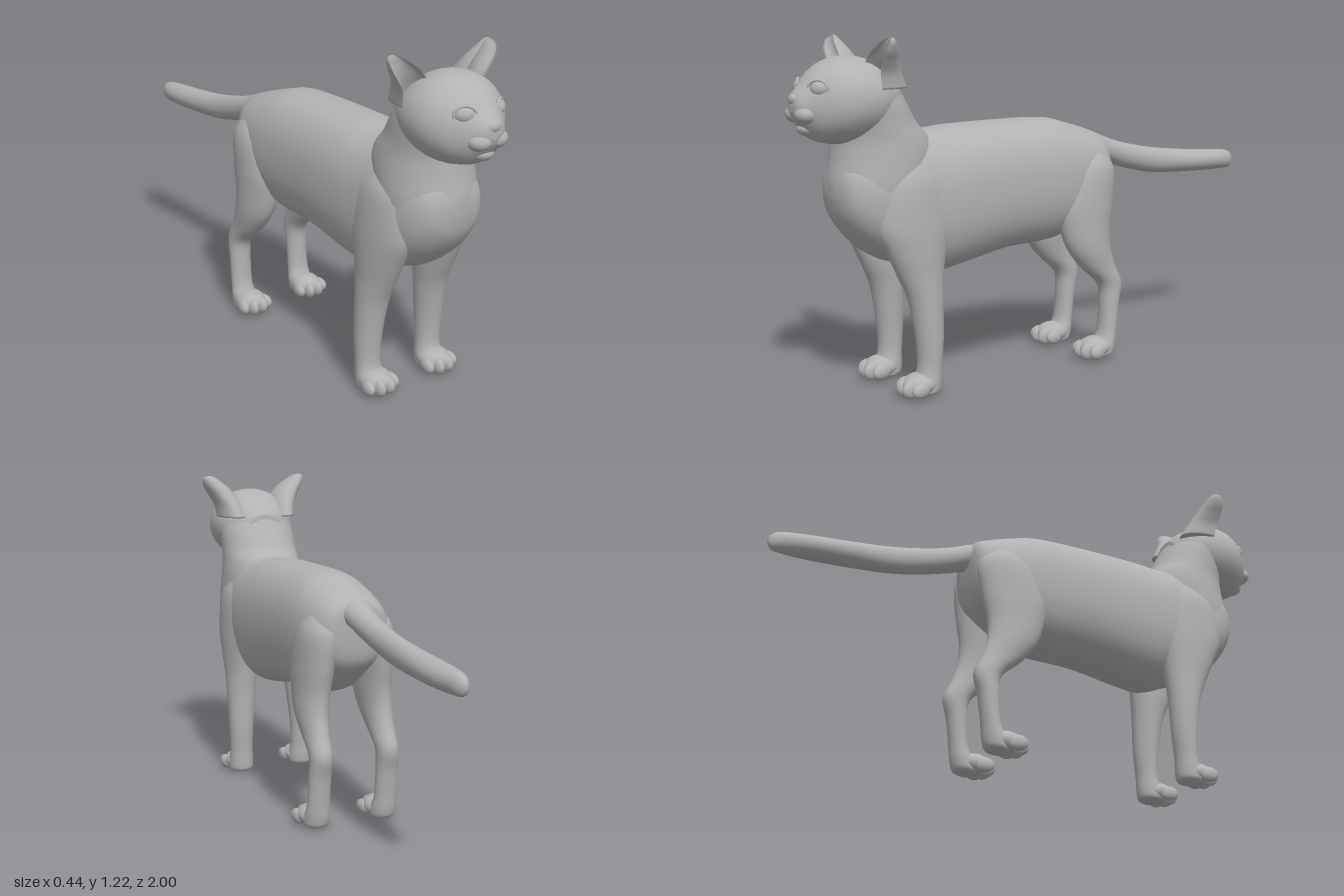
import * as THREE from 'three';

const coat = new THREE.MeshStandardMaterial({ color: 0xb2b2b2 });
coat.name = 'grey coat';

// Cross-section outlines: angle -> [across, along depth]
const superOval = (n) => (a) => [Math.cos(a), Math.sin(a)].map((v) => Math.sign(v) * Math.abs(v) ** (2 / n));
const oval = superOval(2);
const cupped = (a) => [Math.cos(a), Math.sin(a) > 0 ? -0.45 * Math.sin(a) : Math.sin(a)];

// Smooth skin through sections [x, y, z, halfWidth, halfDepth];
// sections stand upright (depth along y) or lie flat (depth along z).
function loft(sections, upright, shape = oval, sides = 36, steps = 5) {
  const at = (i, k) => sections[Math.min(Math.max(i, 0), sections.length - 1)][k];
  const rings = [];
  for (let i = 0; i < sections.length - 1; i++) {
    const last = i === sections.length - 2 ? 1 : 0;
    for (let s = 0; s < steps + last; s++) {
      const t = s / steps;
      rings.push([0, 1, 2, 3, 4].map((k) => {
        const [p0, p1, p2, p3] = [at(i - 1, k), at(i, k), at(i + 1, k), at(i + 2, k)];
        const v = 0.5 * (2 * p1 + (p2 - p0) * t + (2 * p0 - 5 * p1 + 4 * p2 - p3) * t * t
          + (3 * p1 - p0 - 3 * p2 + p3) * t * t * t);
        return k > 2 ? Math.max(v, 0.002) : v;
      }));
    }
  }
  const pos = [], index = [];
  for (const [x, y, z, w, d] of rings) {
    for (let j = 0; j < sides; j++) {
      const [u, v] = shape((j / sides) * Math.PI * 2);
      pos.push(x + u * w, y + (upright ? v * d : 0), z + (upright ? 0 : v * d));
    }
  }
  const first = rings[0], end = rings[rings.length - 1];
  const capA = rings.length * sides, capB = capA + 1;
  pos.push(...first.slice(0, 3), ...end.slice(0, 3));
  // x cross y = +z, x cross z = -y
  const forward = upright ? end[2] > first[2] : end[1] < first[1];
  const tri = (a, b, c) => (forward ? index.push(a, b, c) : index.push(a, c, b));
  for (let j = 0; j < sides; j++) {
    const k = (j + 1) % sides;
    for (let i = 0; i < rings.length - 1; i++) {
      const a = i * sides, b = a + sides;
      tri(a + j, a + k, b + k);
      tri(a + j, b + k, b + j);
    }
    tri(capA, k, j);
    tri(capB, capA - sides + j, capA - sides + k);
  }
  const g = new THREE.BufferGeometry();
  g.setAttribute('position', new THREE.Float32BufferAttribute(pos, 3));
  g.setIndex(index);
  g.computeVertexNormals();
  return g;
}

// Long parts given as [z, top, bottom, halfWidth]
const alongZ = (rows) => rows.map(([z, top, bot, w]) => [0, (top + bot) / 2, z, w, (top - bot) / 2]);
// Upright parts given as [y, x, z, halfWidth, halfDepth]
const alongY = (rows) => rows.map(([y, x, z, w, d]) => [x, y, z, w, d]);

function ellipsoid(x, y, z, rx, ry, rz, yaw = 0) {
  return new THREE.SphereGeometry(1, 24, 16).scale(rx, ry, rz).rotateY(yaw).translate(x, y, z);
}

function mirror(geometry) {
  const g = geometry.clone().scale(-1, 1, 1);
  const ix = g.index.array;
  for (let i = 0; i < ix.length; i += 3) [ix[i], ix[i + 1]] = [ix[i + 1], ix[i]];
  g.computeVertexNormals();
  return g;
}

export function createModel() {
  const model = new THREE.Group();
  model.name = 'cat';
  const add = (name, geometry) => {
    const m = new THREE.Mesh(geometry, coat);
    m.name = name;
    model.add(m);
  };
  const pair = (name, geometry) => {
    add('left ' + name, geometry);
    add('right ' + name, mirror(geometry));
  };

  // Trunk
  add('torso', loft(alongZ([
    [-0.265, 0.80, 0.73, 0.05], [-0.25, 0.835, 0.62, 0.11], [-0.2, 0.857, 0.56, 0.145],
    [-0.1, 0.888, 0.49, 0.166], [0, 0.91, 0.455, 0.172], [0.2, 0.912, 0.445, 0.176],
    [0.4, 0.908, 0.41, 0.18], [0.5, 0.9, 0.4, 0.18], [0.6, 0.9, 0.435, 0.175],
    [0.7, 0.88, 0.47, 0.165], [0.78, 0.85, 0.53, 0.145], [0.84, 0.80, 0.61, 0.1], [0.86, 0.74, 0.69, 0.03],
  ]), true, superOval(2.3)));
  add('tail', loft(alongZ([
    [-0.15, 0.87, 0.72, 0.09], [-0.25, 0.84, 0.735, 0.06], [-0.33, 0.81, 0.712, 0.049],
    [-0.42, 0.785, 0.687, 0.044], [-0.55, 0.76, 0.66, 0.042], [-0.7, 0.742, 0.65, 0.048],
    [-0.85, 0.73, 0.645, 0.049], [-0.95, 0.722, 0.645, 0.034], [-0.985, 0.71, 0.65, 0.02], [-1, 0.69, 0.67, 0.006],
  ]), true));
  add('neck', loft(alongY([
    [0.56, 0, 0.66, 0.12, 0.13], [0.62, 0, 0.67, 0.15, 0.165], [0.72, 0, 0.681, 0.165, 0.181],
    [0.82, 0, 0.67, 0.162, 0.18], [0.88, 0, 0.677, 0.156, 0.168], [0.93, 0, 0.702, 0.153, 0.148],
    [1.0, 0, 0.73, 0.153, 0.135], [1.06, 0, 0.75, 0.142, 0.12], [1.1, 0, 0.76, 0.118, 0.1], [1.14, 0, 0.775, 0.06, 0.055],
  ]), false));

  // Head and face
  add('head', loft(alongZ([
    [0.62, 1.06, 0.97, 0.06], [0.66, 1.10, 0.92, 0.12], [0.72, 1.14, 0.885, 0.155],
    [0.78, 1.156, 0.87, 0.167], [0.84, 1.152, 0.867, 0.162], [0.89, 1.132, 0.875, 0.138],
    [0.93, 1.103, 0.89, 0.102], [0.96, 1.068, 0.92, 0.07], [0.985, 1.04, 0.955, 0.045], [0.995, 1.02, 0.98, 0.02],
  ]), true));
  add('chin', ellipsoid(0, 0.925, 0.93, 0.042, 0.027, 0.045));
  add('nose', ellipsoid(0, 1.02, 0.984, 0.028, 0.019, 0.016));
  pair('muzzle pad', ellipsoid(0.033, 0.972, 0.955, 0.042, 0.032, 0.042));
  pair('eye', ellipsoid(0.07, 1.055, 0.927, 0.034, 0.026, 0.022, 0.55));
  pair('eyelid', new THREE.TorusGeometry(0.035, 0.006, 10, 32).scale(1, 0.8, 1)
    .rotateY(0.55).translate(0.071, 1.055, 0.932));
  pair('ear', loft(alongY([
    [1.05, 0.105, 0.75, 0.058, 0.12], [1.1, 0.118, 0.762, 0.054, 0.105], [1.14, 0.14, 0.767, 0.054, 0.085],
    [1.17, 0.163, 0.765, 0.05, 0.067], [1.195, 0.184, 0.757, 0.037, 0.045],
    [1.21, 0.194, 0.748, 0.024, 0.026], [1.217, 0.196, 0.738, 0.008, 0.008],
  ]), false, cupped));

  // Legs
  pair('front leg', loft(alongY([
    [0.82, 0.09, 0.62, 0.05, 0.06], [0.74, 0.115, 0.62, 0.064, 0.125], [0.6, 0.124, 0.62, 0.066, 0.14],
    [0.5, 0.125, 0.61, 0.065, 0.11], [0.42, 0.125, 0.597, 0.062, 0.085], [0.33, 0.13, 0.582, 0.057, 0.062],
    [0.2, 0.135, 0.572, 0.05, 0.049], [0.1, 0.135, 0.573, 0.046, 0.042], [0.05, 0.134, 0.582, 0.05, 0.05],
    [0.015, 0.134, 0.585, 0.048, 0.048], [0.003, 0.134, 0.59, 0.03, 0.03],
  ]), false));
  pair('hind leg', loft(alongY([
    [0.79, 0.085, -0.15, 0.05, 0.06], [0.72, 0.1, -0.145, 0.075, 0.112], [0.6, 0.115, -0.12, 0.07, 0.125],
    [0.5, 0.122, -0.118, 0.063, 0.108], [0.42, 0.128, -0.135, 0.056, 0.093], [0.35, 0.13, -0.175, 0.047, 0.075],
    [0.28, 0.132, -0.228, 0.042, 0.051], [0.2, 0.134, -0.225, 0.042, 0.037], [0.1, 0.135, -0.215, 0.043, 0.034],
    [0.05, 0.134, -0.2, 0.048, 0.044], [0.015, 0.134, -0.19, 0.046, 0.044], [0.003, 0.134, -0.18, 0.03, 0.03],
  ]), false));

  // Paws with four toes each
  for (const [name, z] of [['front', 0.61], ['hind', -0.16]]) {
    pair(name + ' paw', ellipsoid(0.133, 0.042, z, 0.058, 0.04, 0.066));
    [-0.048, -0.018, 0.018, 0.048].forEach((dx, i) => {
      const middle = Math.abs(dx) < 0.03;
      pair(`${name} toe ${i + 1}`, ellipsoid(0.133 + dx, 0.033, z + (middle ? 0.043 : 0.025),
        0.02, middle ? 0.033 : 0.028, 0.038, dx * 4));
    });
  }
  return model;
}
